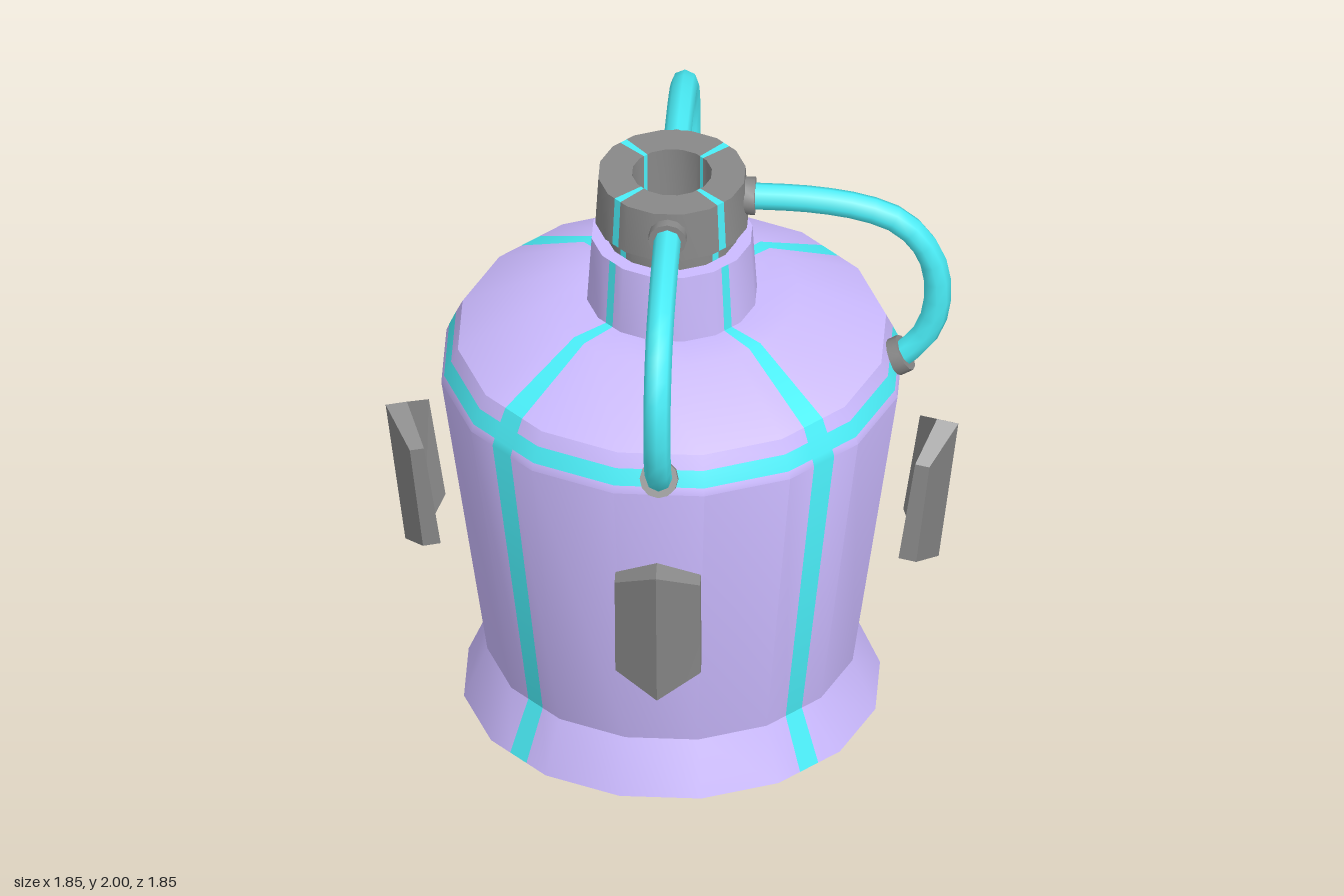
import * as THREE from 'three';
import { toCreasedNormals } from 'three/addons/utils/BufferGeometryUtils.js';

const paint = (color) => new THREE.MeshStandardMaterial({ color });
const purple = paint(0xcbbaff);
const cyan = paint(0x4aeef8);
const grey = paint(0x888888);

function named(geometry, material, name) {
  const mesh = new THREE.Mesh(geometry, material);
  mesh.name = name;
  return mesh;
}

// Unit 16-sided outline; each diagonal side carries a narrow stripe segment
const SIDES = 16;
const STEP = (Math.PI * 2) / SIDES;
const outline = [];
for (let k = 0; k < SIDES; k++) {
  const corner = (k - 0.5) * STEP;
  outline.push({ x: Math.cos(corner), z: Math.sin(corner), stripe: false });
  if (k % 4 !== 2) continue;
  const mid = k * STEP;
  const apothem = Math.cos(STEP / 2);
  for (const w of [-0.058, 0.058]) {
    outline.push({
      x: apothem * Math.cos(mid) - w * Math.sin(mid),
      z: apothem * Math.sin(mid) + w * Math.cos(mid),
      stripe: w < 0,
    });
  }
}

// Sweep a profile of [radius, y, kind] rows round the outline.
// kind describes the band up to the next row: 'plain', 'ring' or striped by default.
function striped(profile, material, name) {
  const base = [];
  const trim = [];
  for (let j = 0; j < profile.length - 1; j++) {
    const [r0, y0, kind] = profile[j];
    const [r1, y1] = profile[j + 1];
    outline.forEach((p, i) => {
      const q = outline[(i + 1) % outline.length];
      const a = [p.x * r0, y0, p.z * r0];
      const b = [q.x * r0, y0, q.z * r0];
      const c = [q.x * r1, y1, q.z * r1];
      const d = [p.x * r1, y1, p.z * r1];
      const coloured = kind === 'ring' || (p.stripe && kind !== 'plain');
      const out = coloured ? trim : base;
      if (r1 > 0) out.push(...a, ...d, ...c);
      if (r0 > 0) out.push(...a, ...c, ...b);
    });
  }
  // Shade as one surface, then separate the two colours
  let whole = new THREE.BufferGeometry();
  whole.setAttribute('position', new THREE.Float32BufferAttribute([...base, ...trim], 3));
  whole.scale(100, 100, 100);
  whole = toCreasedNormals(whole, 0.52);
  whole.scale(0.01, 0.01, 0.01);
  const slice = (from, to) => {
    const g = new THREE.BufferGeometry();
    for (const key of ['position', 'normal']) {
      const part = whole.getAttribute(key).array.slice(from, to);
      g.setAttribute(key, new THREE.BufferAttribute(part, 3));
    }
    return g;
  };
  const group = new THREE.Group();
  group.name = name;
  group.add(named(slice(0, base.length), material, name + 'Shell'));
  group.add(named(slice(base.length), cyan, name + 'Stripes'));
  return group;
}

// Chevron-fronted pad: edge, ridge and edge sections, facing +x
function padGeometry() {
  const edge = [[0.84, 0.965], [0.797, 0.59], [0.74, 0.603], [0.794, 0.975]];
  const ridge = [[0.926, 1.045], [0.862, 0.52], [0.8, 0.535], [0.857, 1.06]];
  const sections = [[edge, -0.138], [ridge, 0], [edge, 0.138]];
  const positions = [];
  const index = [];
  for (const [points, z] of sections) {
    for (const [x, y] of points) positions.push(x, y, z);
  }
  for (let s = 0; s < 2; s++) {
    for (let i = 0; i < 4; i++) {
      const a = s * 4 + i;
      const b = s * 4 + ((i + 1) % 4);
      index.push(a, b + 4, b, a, a + 4, b + 4);
    }
  }
  index.push(0, 1, 2, 0, 2, 3, 8, 10, 9, 8, 11, 10);
  const g = new THREE.BufferGeometry();
  g.setAttribute('position', new THREE.Float32BufferAttribute(positions, 3));
  g.setIndex(index);
  return toCreasedNormals(g, 0.1);
}

// Short round fitting centred at (x, y), with its axis tilted up from +x
function fitting(x, y, tilt, length, name) {
  const g = toCreasedNormals(new THREE.CylinderGeometry(0.062, 0.062, length, 12), 0.6);
  const mesh = named(g, grey, name);
  mesh.position.set(x, y, 0);
  mesh.rotation.z = tilt - Math.PI / 2;
  return mesh;
}

// Hose looping from the head out and down to the shoulder band
function hose() {
  const points = [
    [0.22, 1.918], [0.45, 1.912], [0.62, 1.885], [0.73, 1.84], [0.8, 1.77],
    [0.845, 1.68], [0.86, 1.57], [0.845, 1.46], [0.8, 1.37], [0.72, 1.295],
  ];
  const path = new THREE.CatmullRomCurve3(points.map(([x, y]) => new THREE.Vector3(x, y, 0)));
  const group = new THREE.Group();
  group.name = 'hose';
  group.add(named(new THREE.TubeGeometry(path, 16, 0.044, 8), cyan, 'hoseTube'));
  group.add(fitting(0.245, 1.918, 0, 0.05, 'headFitting'));
  group.add(fitting(0.735, 1.308, 0.53, 0.045, 'shoulderFitting'));
  return group;
}

export function createModel() {
  const model = new THREE.Group();
  model.name = 'tank';

  // Tank with flared foot, cyan shoulder band and neck
  model.add(striped([
    [0, 0, 'plain'], [0.678, 0], [0.602, 0.18], [0.752, 1.245],
    [0.743, 1.27, 'ring'], [0.72, 1.323], [0.698, 1.37],
    [0.41, 1.525], [0.277, 1.525], [0.262, 1.765, 'plain'], [0, 1.765],
  ], purple, 'body'));

  // Collar and hollow head
  model.add(striped([
    [0.215, 1.765], [0.215, 1.825], [0.25, 1.825], [0.24, 2],
    [0.13, 2], [0.13, 1.765],
  ], grey, 'head'));

  // Pads on four sides; hoses at front, left and back
  const pad = padGeometry();
  for (let i = 0; i < 4; i++) {
    const turn = (i - 1) * (Math.PI / 2);
    const mount = named(pad, grey, 'sidePad');
    mount.rotation.y = turn;
    model.add(mount);
    if (i === 3) continue;
    const loop = hose();
    loop.rotation.y = turn;
    model.add(loop);
  }
  return model;
}
